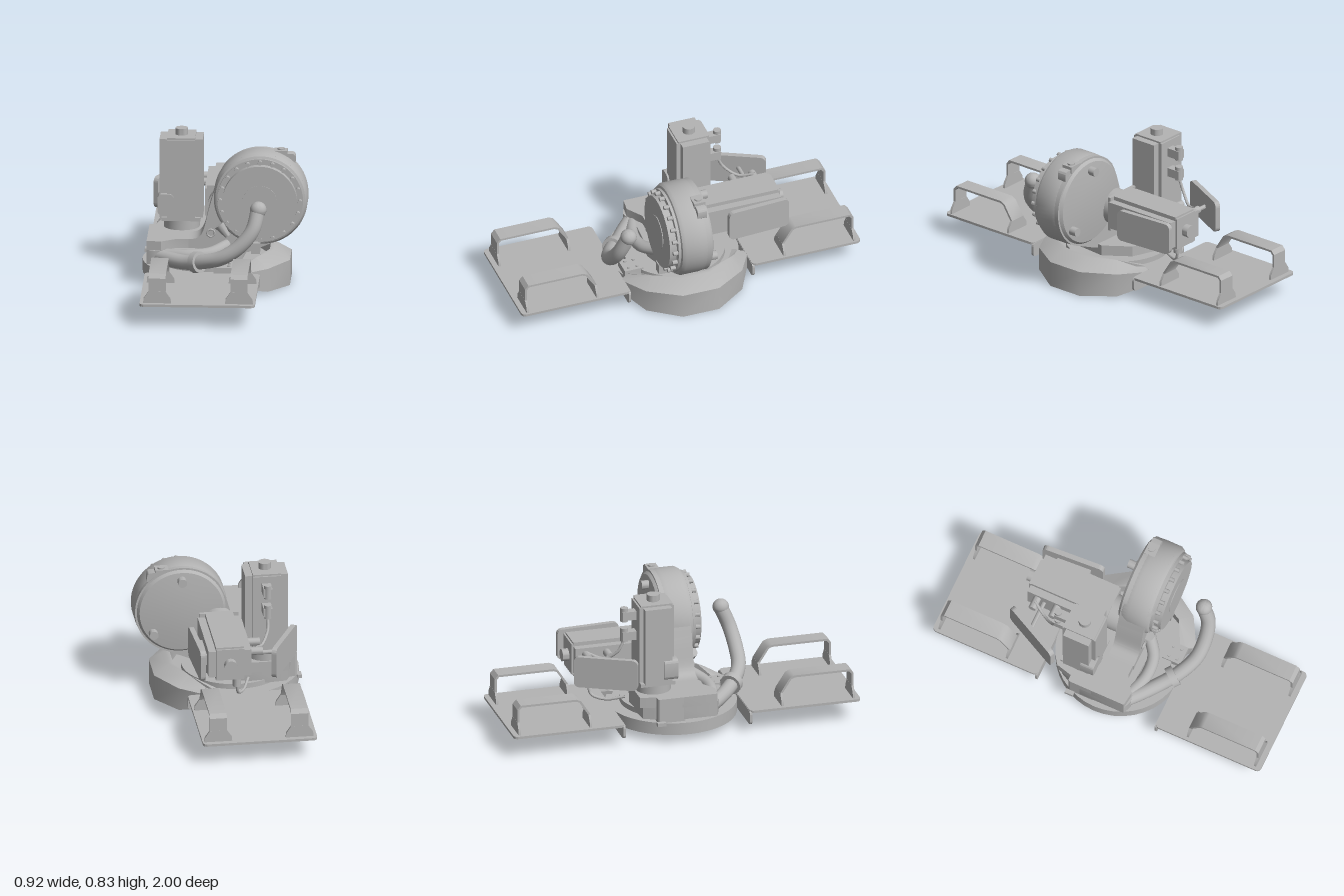
import * as THREE from 'three';
import { toCreasedNormals } from 'three/addons/utils/BufferGeometryUtils.js';

const steel = new THREE.MeshStandardMaterial({ color: 0xb4b4b4, side: THREE.DoubleSide });
steel.name = 'grey steel';

const V = (x, y, z) => new THREE.Vector3(x, y, z);

export function createModel() {
  const root = new THREE.Group();
  root.name = 'robotBase';

  const add = (name, geo, parent = root) => {
    const m = new THREE.Mesh(toCreasedNormals(geo, 0.6), steel);
    m.name = name;
    parent.add(m);
    return m;
  };
  const box = (name, x0, x1, y0, y1, z0, z1, parent) =>
    add(name, new THREE.BoxGeometry(x1 - x0, y1 - y0, z1 - z0)
      .translate((x0 + x1) / 2, (y0 + y1) / 2, (z0 + z1) / 2), parent);
  const poly = pts => new THREE.Shape(pts.map(p => new THREE.Vector2(p[0], p[1])));
  const extrude = (shape, depth) =>
    new THREE.ExtrudeGeometry(shape, { depth, bevelEnabled: false, curveSegments: 24 });
  // shape in (x, y) along z, in (z, y) along x, in (x, z) along y
  const alongZ = (s, z0, z1) => extrude(s, z1 - z0).translate(0, 0, z0);
  const alongX = (s, x0, x1) => extrude(s, x1 - x0).rotateY(-Math.PI / 2).translate(x1, 0, 0);
  const alongY = (s, y0, y1) => extrude(s, y1 - y0).rotateX(Math.PI / 2).translate(0, y1, 0);
  const cylY = (name, x, z, r, y0, y1, seg = 32, parent) =>
    add(name, new THREE.CylinderGeometry(r, r, y1 - y0, seg).translate(x, (y0 + y1) / 2, z), parent);
  const cylZ = (name, x, y, r, z0, z1, seg = 32) =>
    add(name, new THREE.CylinderGeometry(r, r, z1 - z0, seg).rotateX(Math.PI / 2).translate(x, y, (z0 + z1) / 2));
  const tube = (name, pts, r, seg = 48) =>
    add(name, new THREE.TubeGeometry(new THREE.CatmullRomCurve3(pts.map(p => V(...p))), seg, r, 16));
  const roundRect = (w, h, r) => {
    const s = new THREE.Shape();
    [[1, 1, 0], [-1, 1, 1], [-1, -1, 2], [1, -1, 3]].forEach(([a, b, q]) =>
      s.absarc(a * (w / 2 - r), b * (h / 2 - r), r, q * Math.PI / 2, (q + 1) * Math.PI / 2));
    return s;
  };

  // Fork plates with carrying handles, front and back
  for (const s of [1, -1]) {
    const side = s > 0 ? 'front' : 'back';
    const plate = roundRect(0.64, 0.64, 0.025);
    add(side + 'Plate', alongY(plate, 0.12, 0.134).translate(-0.11, 0, s * 0.68));
    add(side + 'PlateFlange', alongZ(roundRect(0.64, 0.08, 0.02), -0.007, 0.007).translate(-0.11, 0.09, s * 0.365));
    for (const x of [-0.213, 0]) cylZ(side + 'FlangeBolt', x, 0.075, 0.013, s * 0.372 - 0.005, s * 0.372 + 0.005, 16);
    for (const x of [-0.333, 0.122]) {
      const strap = [[0.97, 0.13], [0.97, 0.275], [0.95, 0.298], [0.63, 0.298], [0.602, 0.285], [0.547, 0.2],
        [0.547, 0.13], [0.559, 0.13], [0.559, 0.197], [0.612, 0.278], [0.632, 0.286], [0.945, 0.286], [0.958, 0.27], [0.958, 0.13]];
      add(side + 'Handle', alongX(poly(strap.map(([z, y]) => [s * z, y])), x - 0.048, x + 0.048));
      const foot = poly([[-0.078, 0.13], [0.078, 0.13], [0.075, 0.16], [0.048, 0.2], [-0.048, 0.2], [-0.075, 0.16]]);
      for (const z of [0.553, 0.964])
        add(side + 'HandleFoot', alongZ(foot, s * z - 0.0065, s * z + 0.0065).translate(x, 0, 0));
    }
  }

  // Round base, hub and upper ring
  cylY('baseDisc', -0.095, 0, 0.365, 0.05, 0.12, 40);
  cylY('baseHub', -0.105, 0, 0.095, 0.035, 0.06);
  cylY('baseRing', -0.095, 0, 0.29, 0.11, 0.15, 40);

  // Faceted skirt around the right half of the base
  const sections = [[-64, 0.42, 0.05, 0.14, 0.13], [-39, 0.45, 0.01, 0.19, 0.142], [-13, 0.475, 0, 0.2, 0.145],
    [13, 0.475, 0, 0.2, 0.145], [39, 0.45, 0.01, 0.19, 0.142], [64, 0.42, 0.05, 0.14, 0.13]];
  const pos = [];
  const ring = sections.map(([deg, r, low, top, shoulder]) => {
    const a = THREE.MathUtils.degToRad(deg), at = (q, y) => [-0.1 + q * Math.cos(a), y, q * Math.sin(a)];
    return [at(0.36, 0.05), at(0.36, top), at(r - 0.09, top), at(r, shoulder), at(r, low), at(r - 0.06, low)];
  });
  const quad = (a, b, c, d) => pos.push(...a, ...b, ...c, ...a, ...c, ...d);
  for (let i = 0; i < ring.length - 1; i++)
    for (let j = 0; j < 6; j++) {
      const k = (j + 1) % 6;
      quad(ring[i][j], ring[i][k], ring[i + 1][k], ring[i + 1][j]);
    }
  const first = ring[0], last = ring[ring.length - 1];
  for (let j = 1; j < 5; j++) pos.push(...first[0], ...first[j + 1], ...first[j], ...last[0], ...last[j], ...last[j + 1]);
  const skirt = new THREE.BufferGeometry();
  skirt.setAttribute('position', new THREE.Float32BufferAttribute(pos, 3));
  skirt.computeVertexNormals();
  add('baseSkirt', skirt);

  // Rotating carousel that carries the arm
  add('carousel', alongY(poly([[-0.43, -0.1], [-0.36, -0.24], [-0.15, -0.26], [0.02, -0.2], [0.12, -0.06],
    [0.1, 0.12], [-0.04, 0.17], [-0.24, 0.16], [-0.38, 0.19], [-0.43, 0.17]]), 0.13, 0.21));
  add('carouselTop', alongY(poly([[-0.43, -0.03], [-0.37, -0.26], [-0.14, -0.26], [-0.06, -0.06],
    [-0.06, 0.12], [-0.26, 0.12], [-0.35, 0.18], [-0.43, 0.17]]), 0.2, 0.262));
  add('junctionBox', alongY(roundRect(0.08, 0.16, 0.012), 0.12, 0.262).translate(-0.39, 0, -0.09));
  box('baseStop', -0.05, 0.06, 0.12, 0.16, 0.23, 0.34);
  for (const x of [-0.025, 0.035]) for (const z of [0.26, 0.31]) cylY('stopBolt', x, z, 0.009, 0.16, 0.168, 12);
  box('baseLug', -0.455, -0.43, 0.11, 0.13, -0.18, -0.13);

  // Teardrop lower arm and its drum
  const arm = new THREE.Shape();
  arm.moveTo(-0.2, 0.16);
  arm.lineTo(-0.2, 0.262);
  arm.bezierCurveTo(-0.1, 0.262, -0.12, 0.33, -0.075, 0.475);
  arm.quadraticCurveTo(-0.045, 0.59, -0.008, 0.654);
  arm.absarc(0.2, 0.5, 0.259, Math.PI * 0.797, -Math.PI * 0.4, true);
  arm.lineTo(0.14, 0.195);
  arm.lineTo(0, 0.16);
  add('lowerArm', alongZ(arm, -0.03, 0.125));
  const drum = [[0, -0.06], [0.13, -0.058], [0.235, -0.045], [0.257, -0.02], [0.262, 0.02], [0.262, 0.12],
    [0.25, 0.14], [0.238, 0.145], [0.238, 0.16], [0.207, 0.16], [0.207, 0.2], [0, 0.2]];
  add('armDrum', new THREE.LatheGeometry(drum.map(p => new THREE.Vector2(...p)), 64)
    .rotateX(Math.PI / 2).translate(0.2, 0.5, 0));
  cylZ('drumHub', 0.2, 0.5, 0.097, 0.19, 0.204, 40);
  for (let i = 0; i < 22; i++) {
    const a = Math.PI / 2 + i * Math.PI * 2 / 20;
    if (i < 20) cylZ('drumBolt', 0.2 + 0.222 * Math.cos(a), 0.5 + 0.222 * Math.sin(a), 0.012, 0.155, 0.188, 12);
  }
  for (const [x, y] of [[0.2, 0.69], [0.36, 0.38]]) cylZ('drumRearPlug', x, y, 0.025, -0.09, -0.04, 16);
  box('drumLug', 0.27, 0.345, 0.69, 0.752, -0.03, 0.035);
  add('drumLugTip', alongZ(roundRect(0.08, 0.07, 0.02), -0.025, 0.03).translate(0.35, 0.7, 0));
  cylY('drumLugPin', 0.31, 0, 0.02, 0.74, 0.76, 16);
  box('armBracket', 0.15, 0.2, 0.2, 0.26, 0.12, 0.19);
  add('armSocket', new THREE.TorusGeometry(0.021, 0.005, 8, 24).translate(-0.075, 0.3, 0.13));
  add('armNozzle', new THREE.CylinderGeometry(0.016, 0.03, 0.08, 16).rotateZ(-2.5).translate(-0.005, 0.32, 0.14));

  // Two matching drive motors: one upright, one pointing backwards
  const motor = name => {
    const g = new THREE.Group();
    g.name = name;
    const w = 0.12, c = 0.078;
    add('motorFlange', new THREE.CylinderGeometry(0.1, 0.1, 0.09, 32).translate(0, 0.035, 0), g);
    box('motorMount', -0.108, 0.108, 0.055, 0.075, -0.1, 0.1, g);
    add('motorBody', alongY(poly([[-w, -c], [-c, -c], [-c, -0.1], [c, -0.1], [c, -c], [w, -c],
      [w, c], [c, c], [c, 0.1], [-c, 0.1], [-c, c], [-w, c]]), 0.07, 0.52), g);
    box('motorCap', -c, c, 0.515, 0.53, -0.09, 0.09, g);
    cylY('motorShaftCover', 0, 0, 0.035, 0.52, 0.567, 24, g);
    root.add(g);
    return g;
  };
  motor('uprightMotor').position.set(-0.25, 0.26, -0.15);
  const rear = motor('rearMotor');
  rear.position.set(0, 0.41, -0.04);
  rear.rotation.x = -Math.PI / 2;

  // Motor guards
  const guard = (name, x, z, len, turn) => {
    const m = add(name, alongX(roundRect(len, 0.18, 0.03), -0.014, 0.014));
    m.position.set(x, 0.41, z);
    m.rotation.y = turn;
  };
  guard('leftGuard', -0.32, -0.44, 0.36, -0.464);
  guard('rightGuard', 0.165, -0.41, 0.36, 0.06);
  box('rightGuardArm', 0.1, 0.16, 0.38, 0.44, -0.5, -0.3);
  add('leftGuardArm', new THREE.CylinderGeometry(0.012, 0.012, 0.2, 12).rotateZ(Math.PI / 2).translate(-0.2, 0.42, -0.46));
  add('motorClip', alongZ(roundRect(0.09, 0.12, 0.025), -0.12, -0.04).translate(-0.335, 0.41, 0));

  // Plugs and cables
  for (const y of [0.6, 0.72]) {
    box('plugBlock', -0.27, -0.22, y - 0.03, y + 0.02, -0.33, -0.24);
    cylY('plug', -0.245, -0.315, 0.022, y - 0.04, y + 0.04, 16);
  }
  for (const z of [-0.38, -0.5]) {
    add('rearPlug', new THREE.CylinderGeometry(0.022, 0.022, 0.08, 16).rotateZ(Math.PI / 2).translate(-0.15, 0.45, z));
  }
  cylY('cablePlug', -0.05, -0.47, 0.023, 0.23, 0.3, 16);
  tube('cable', [[-0.05, 0.24, -0.47], [-0.06, 0.18, -0.45], [-0.1, 0.16, -0.38], [-0.14, 0.18, -0.28]], 0.008);
  tube('upperCable', [[-0.15, 0.47, -0.5], [-0.2, 0.45, -0.42], [-0.24, 0.5, -0.35], [-0.245, 0.57, -0.315]], 0.008);

  // Hose sweeping round the front, with collar and ball end
  tube('hose', [[-0.39, 0.17, 0.13], [-0.3, 0.17, 0.21], [-0.2, 0.175, 0.29], [-0.11, 0.2, 0.36], [0, 0.24, 0.415],
    [0.1, 0.31, 0.425], [0.17, 0.4, 0.41], [0.198, 0.505, 0.37]], 0.041, 64);
  add('hoseBall', new THREE.SphereGeometry(0.046, 24, 16).translate(0.2, 0.508, 0.37));
  const collar = add('hoseCollar', new THREE.CylinderGeometry(0.06, 0.06, 0.04, 24));
  collar.position.set(-0.14, 0.19, 0.335);
  collar.quaternion.setFromUnitVectors(V(0, 1, 0), V(0.76, 0.2, 0.62).normalize());
  tube('innerHose', [[-0.32, 0.18, 0.16], [-0.2, 0.19, 0.2], [-0.08, 0.2, 0.19], [0.02, 0.23, 0.12]], 0.035);

  return root;
}
